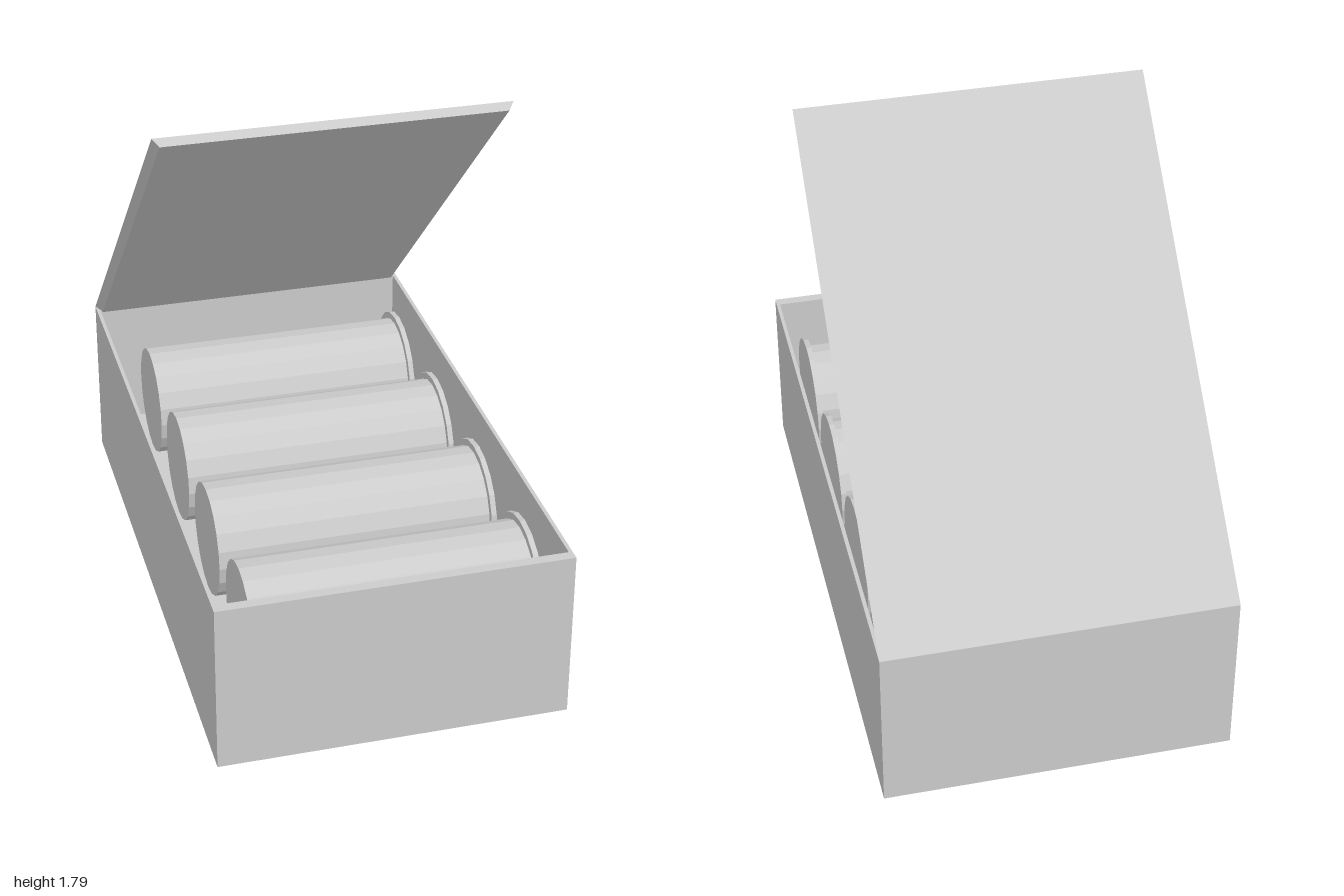
import * as THREE from 'three';

const grey = new THREE.MeshStandardMaterial({ color: 0xcccccc, flatShading: true });

function add(parent, name, geometry, x = 0, y = 0, z = 0) {
  const mesh = new THREE.Mesh(geometry, grey);
  mesh.name = name;
  mesh.position.set(x, y, z);
  parent.add(mesh);
  return mesh;
}

// Rectangle outline centred on the origin
function rectangle(Type, w, d) {
  return new Type([[-1, -1], [1, -1], [1, 1], [-1, 1]].map(
    ([x, z]) => new THREE.Vector2(x * w / 2, z * d / 2)));
}

export function createModel() {
  const model = new THREE.Group();
  model.name = 'cartridgeBox';

  const W = 1.14, H = 0.58, D = 2;
  const innerW = 1.115, innerD = 1.93, floorH = 0.12;

  // Open box: a ring of walls and a floor
  const outline = rectangle(THREE.Shape, W, D);
  outline.holes.push(rectangle(THREE.Path, innerW, innerD));
  const walls = new THREE.ExtrudeGeometry(outline, { depth: H, bevelEnabled: false });
  walls.rotateX(-Math.PI / 2);
  add(model, 'boxWalls', walls);
  add(model, 'boxFloor', new THREE.BoxGeometry(innerW, floorH, innerD), 0, floorH / 2, 0);

  // Open lid: thin plate hinged at the top back edge, narrower underneath
  const lidLength = 1.743, lidThick = 0.03, inset = 0.02;
  const lidGeometry = new THREE.BoxGeometry(W, lidThick, lidLength);
  const p = lidGeometry.attributes.position;
  for (let i = 0; i < p.count; i++) {
    if (p.getY(i) < 0) {
      p.setX(i, p.getX(i) - Math.sign(p.getX(i)) * inset);
      p.setZ(i, p.getZ(i) - (p.getZ(i) < 0 ? -inset : 0));
    }
  }
  lidGeometry.translate(0, -lidThick / 2, lidLength / 2);
  lidGeometry.computeVertexNormals();
  const lid = add(model, 'lid', lidGeometry, 0, H, -D / 2);
  lid.rotation.x = -Math.atan2(1.21, 1.255);

  // Row of four cartridges lying across the box, each with a rim at the +x end
  for (let i = 0; i < 4; i++) {
    const cartridge = new THREE.Group();
    cartridge.name = 'cartridge' + (i + 1);
    cartridge.position.set(0, 0.335, 0.715 - i * 0.47);
    const body = new THREE.CylinderGeometry(0.19, 0.19, 0.92, 20).rotateZ(-Math.PI / 2);
    const rim = new THREE.CylinderGeometry(0.213, 0.213, 0.018, 20).rotateZ(-Math.PI / 2);
    add(cartridge, 'cartridgeBody', body, 0.03);
    add(cartridge, 'cartridgeRim', rim, 0.495);
    model.add(cartridge);
  }
  return model;
}
